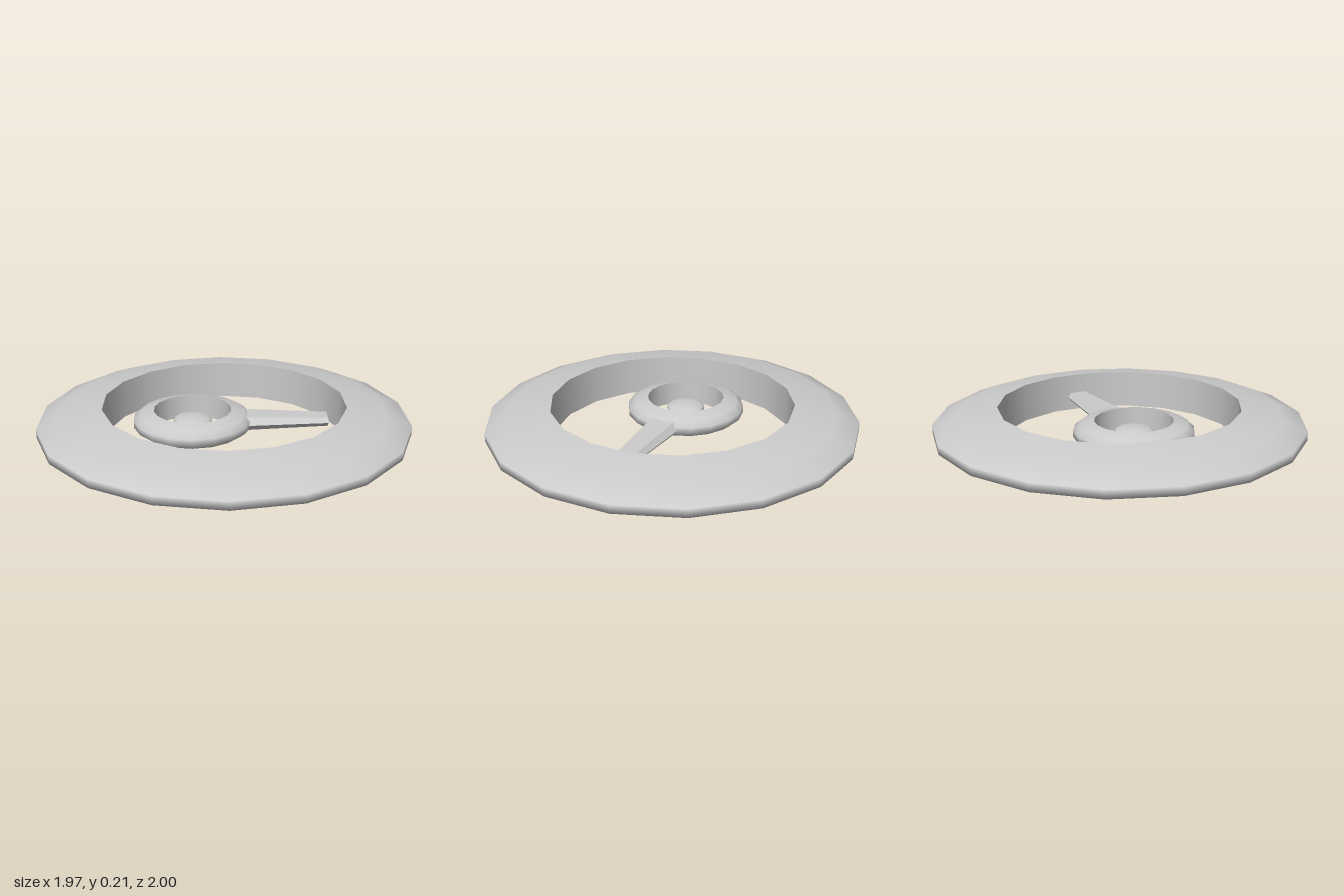
import * as THREE from 'three';

const SIDES = 18;
const MID_Y = 0.107;
const HUB_X = -0.17;

const grey = new THREE.MeshStandardMaterial({ color: 0xcccccc });

function addMesh(parent, name, geometry) {
  const mesh = new THREE.Mesh(geometry, grey);
  mesh.name = name;
  parent.add(mesh);
  return mesh;
}

// Ring with a rounded outer side and a straight inner wall.
// half lists [radius, y] from the inner top rim to the outer edge.
function makeRing(name, half) {
  const ring = new THREE.Group();
  ring.name = name;
  const top = half.map(([r, y]) => new THREE.Vector2(r, y));
  const bottom = top.map((p) => new THREE.Vector2(p.x, -p.y));
  const outer = [...bottom, ...top.slice().reverse()];
  const inner = [top[0], bottom[0]];
  addMesh(ring, name + 'Shell', new THREE.LatheGeometry(outer, SIDES));
  addMesh(ring, name + 'InnerWall', new THREE.LatheGeometry(inner, SIDES));
  return ring;
}

// Flattened six-sided bar along x, narrowing towards its free end
function makeSpoke(x0, x1, width0, width1, halfHeight) {
  const section = new THREE.Shape([
    [1, 0], [0.68, 1], [-0.68, 1], [-1, 0], [-0.68, -1], [0.68, -1],
  ].map(([x, y]) => new THREE.Vector2(x * width0, y * halfHeight)));
  const geometry = new THREE.ExtrudeGeometry(section, { depth: x1 - x0, bevelEnabled: false });
  const pos = geometry.attributes.position;
  for (let i = 0; i < pos.count; i++) {
    const t = pos.getZ(i) / (x1 - x0);
    const s = 1 + t * (width1 / width0 - 1);
    pos.setXY(i, pos.getX(i) * s, pos.getY(i) * s);
  }
  geometry.rotateY(Math.PI / 2);
  geometry.translate(x0, 0, 0);
  geometry.computeVertexNormals();
  return geometry;
}

export function createModel() {
  const model = new THREE.Group();
  model.name = 'ringOrnament';

  // Large outer ring
  const outerRing = makeRing('outerRing', [[0.655, 0.107], [0.88, 0.071], [1, 0.023]]);
  outerRing.position.y = MID_Y;
  model.add(outerRing);

  // Small off-centre ring, centre button and spoke
  const hub = makeRing('hubRing', [[0.21, 0.064], [0.285, 0.045], [0.32, 0.018]]);
  hub.position.set(HUB_X, MID_Y, 0);
  model.add(hub);

  const button = addMesh(model, 'centreButton', new THREE.SphereGeometry(0.105, SIDES, 10));
  button.scale.y = 0.28;
  button.position.set(HUB_X, MID_Y, 0);

  const spoke = addMesh(model, 'spoke', makeSpoke(0.1, 0.56, 0.097, 0.064, 0.036));
  spoke.position.y = MID_Y;

  return model;
}
